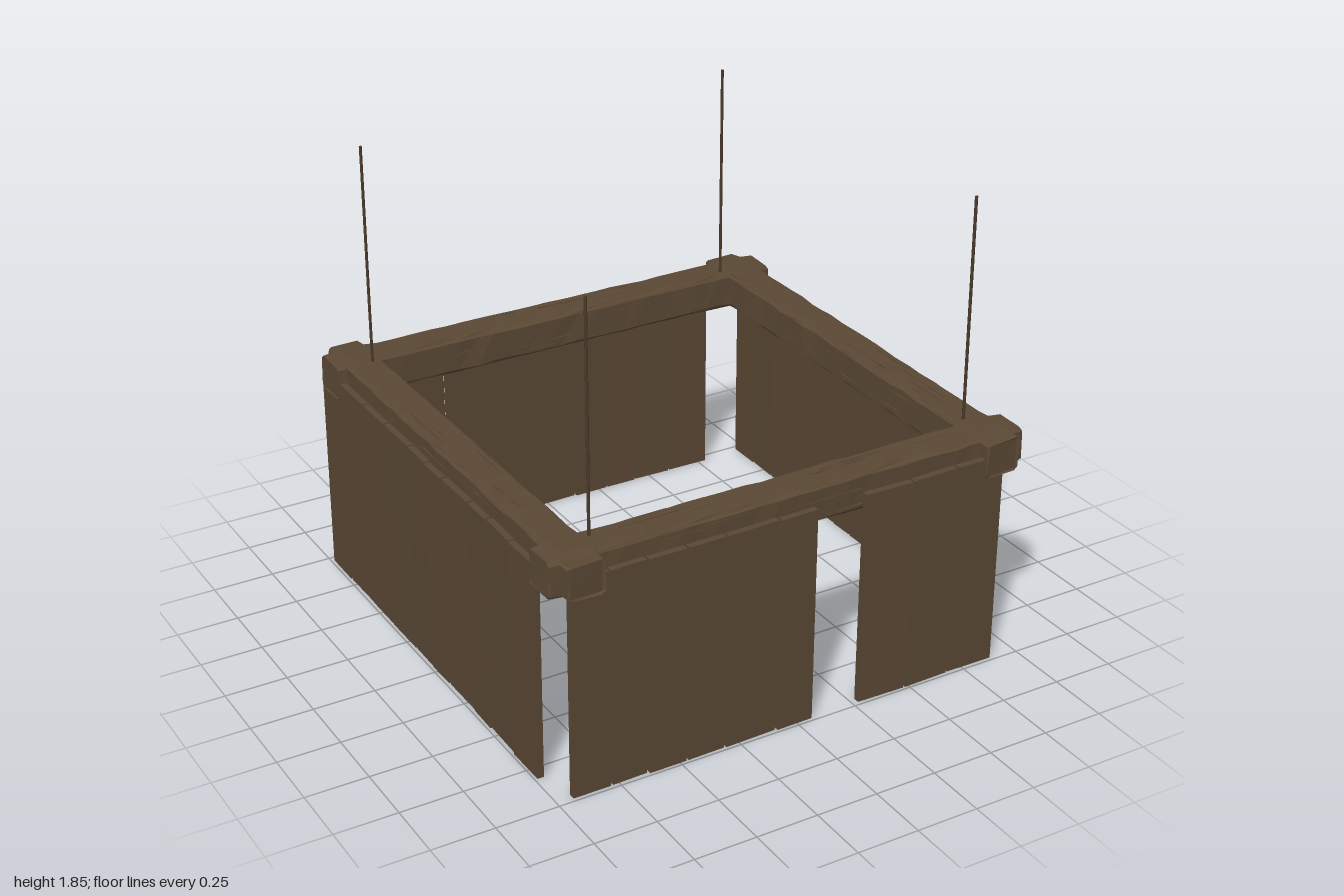
import * as THREE from 'three';

export function createModel() {
  const model = new THREE.Group();
  const mat = (name, color, flatShading = false) => {
    const m = new THREE.MeshStandardMaterial({ color, flatShading });
    m.name = name;
    return m;
  };
  const timber = mat('timber brown', 0x5a4834, true);
  const board = mat('board brown', 0x594733, true);
  const rodMat = mat('rod brown', 0x4a3a2a);

  // Seeded value in -1..1
  let seed = 7;
  const rnd = () => {
    seed = (seed * 16807) % 2147483647;
    return (seed / 2147483647) * 2 - 1;
  };
  const add = (parent, name, geo, material, x = 0, y = 0, z = 0) => {
    const mesh = new THREE.Mesh(geo, material);
    mesh.name = name;
    mesh.position.set(x, y, z);
    parent.add(mesh);
    return mesh;
  };

  // Rough-hewn beam: a box with bevelled, slightly uneven edges
  const L = 1.985, S = 0.155;
  function beamGeometry() {
    const geo = new THREE.BoxGeometry(L, S, S, 26, 3, 3);
    const p = geo.attributes.position;
    const offsets = new Map();
    for (let i = 0; i < p.count; i++) {
      const x = p.getX(i);
      let u = p.getY(i) / S, v = p.getZ(i) / S;
      const key = [x, u, v].map(n => n.toFixed(3)).join();
      if (!offsets.has(key)) offsets.set(key, [rnd(), rnd(), rnd()]);
      const j = offsets.get(key);
      const corner = Math.abs(u) > 0.49 && Math.abs(v) > 0.49;
      if (Math.abs(u) < 0.3) u *= 2.4;
      if (Math.abs(v) < 0.3) v *= 2.4;
      if (corner) { u *= 0.9; v *= 0.9; }
      const isEnd = Math.abs(x) > L / 2 - 0.001;
      const rim = isEnd && (Math.abs(u) > 0.41 || Math.abs(v) > 0.41);
      const k = (rim ? 0.92 : Math.abs(x) > 0.78 ? 1.01 : 0.965) * S;
      p.setXYZ(i, x + j[0] * (isEnd ? 0.007 : 0.012), u * k + j[1] * 0.003, v * k + j[2] * 0.003);
    }
    geo.computeVertexNormals();
    return geo;
  }

  // Plank edges per side, running left to right as seen from outside
  const sides = [
    { name: 'front', turn: 0, runs: [[-0.94, -0.78, -0.63, -0.47, -0.31, -0.09, 0.07], [0.27, 0.48, 0.68, 0.89]] },
    { name: 'left', turn: Math.PI / 2, runs: [[-0.84, -0.67, -0.47, -0.27, -0.1, 0.08, 0.2, 0.37, 0.53, 0.69, 0.83, 0.985]] },
    { name: 'back', turn: Math.PI, runs: [[-0.79, -0.6, -0.43, -0.29, -0.135, 0.06, 0.25, 0.46, 0.64, 0.83]] },
    { name: 'right', turn: -Math.PI / 2, runs: [[-0.98, -0.8, -0.59, -0.4, -0.19, -0.04, 0.1, 0.31, 0.45, 0.63, 0.82]] },
  ];

  for (const { name, turn, runs } of sides) {
    const side = new THREE.Group();
    side.name = name + 'Side';
    side.rotation.y = turn;
    model.add(side);

    add(side, name + 'Beam', beamGeometry(), timber, 0, 0.877, 0.876);

    // Raised wood grain on the top, outer and inner faces of the beam
    for (let i = 0; i < 18; i++) {
      const len = 0.18 + 0.12 * rnd(), at = rnd() * 0.65, across = rnd() * 0.05;
      const face = i % 3;
      if (face === 0) add(side, 'topGrain', new THREE.BoxGeometry(len, 0.006, 0.007), timber, at, 0.9515, 0.876 + across);
      else add(side, face === 1 ? 'outerGrain' : 'innerGrain', new THREE.BoxGeometry(len, 0.007, 0.006), timber,
        at, 0.877 + across, 0.876 + (face === 1 ? 0.0745 : -0.0745));
    }

    // Upright boards hung outside the beam, each leaning a touch
    for (const edges of runs) {
      for (let i = 0; i + 1 < edges.length; i++) {
        const w = edges[i + 1] - edges[i] - 0.009;
        const geo = new THREE.BoxGeometry(w, 0.88, 0.026);
        const plank = add(side, name + 'Plank', geo, board, (edges[i] + edges[i + 1]) / 2, 0.44, 0.973 + rnd() * 0.003);
        plank.rotation.x = rnd() * 0.004;
        plank.rotation.y = rnd() * 0.03;
      }
    }
  }

  // Thin corner rods rising from the frame
  for (const [x, z] of [[0.843, 0.787], [-0.785, 0.848], [-0.848, -0.787], [0.783, -0.845]]) {
    add(model, 'cornerRod', new THREE.CylinderGeometry(0.006, 0.006, 0.945, 8), rodMat, x, 1.3725, z);
  }
  return model;
}
